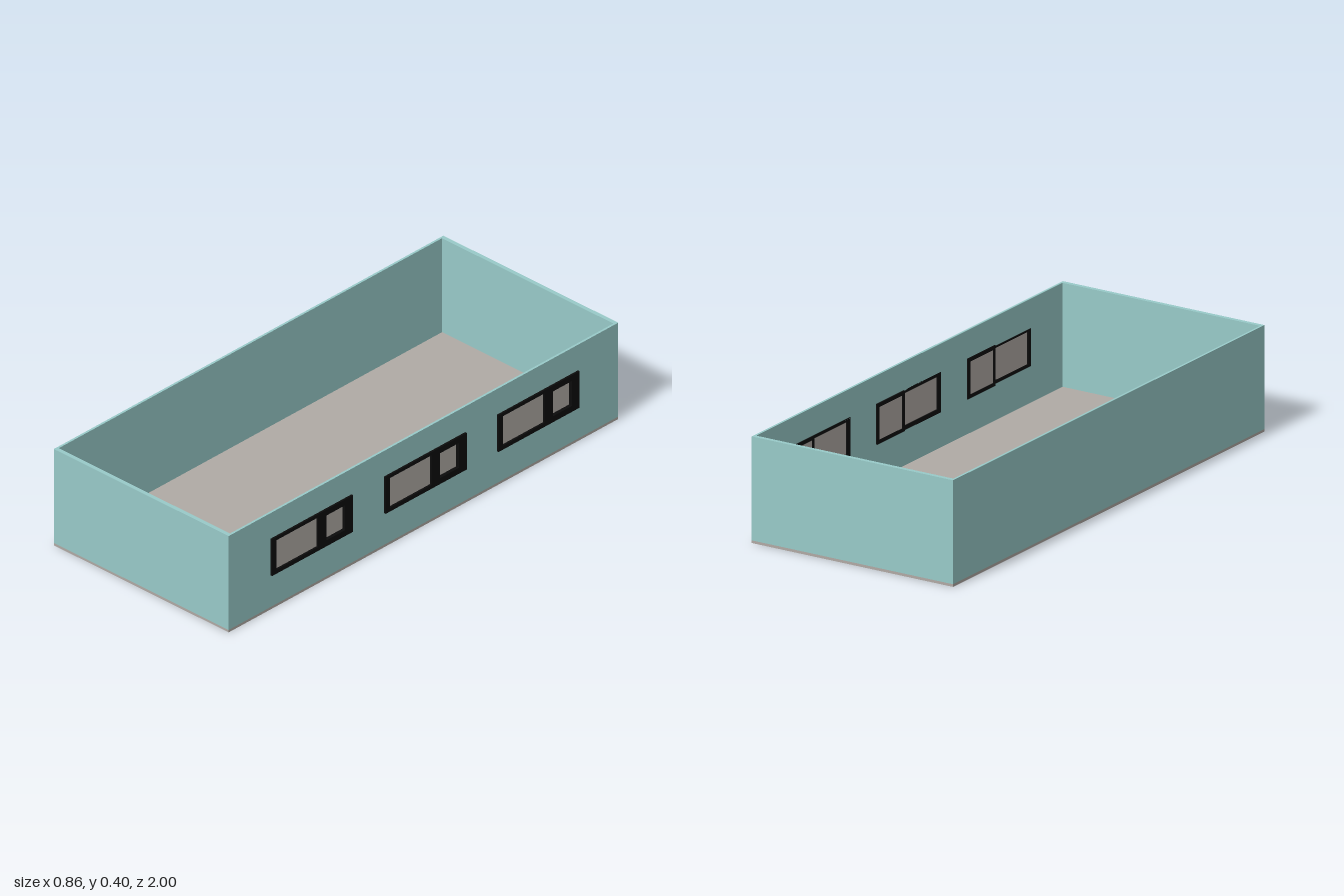
import * as THREE from 'three';

const material = (name, color) => {
  const m = new THREE.MeshStandardMaterial({ color });
  m.name = name;
  return m;
};

// Rectangle in the (z, y) plane
function rect(path, [z0, z1, y0, y1]) {
  path.moveTo(z0, y0);
  path.lineTo(z1, y0);
  path.lineTo(z1, y1);
  path.lineTo(z0, y1);
  path.closePath();
  return path;
}

// Upright panel with openings, running from outerX inwards (towards -x)
function panel(name, mat, outerX, depth, outline, openings) {
  const shape = rect(new THREE.Shape(), outline);
  openings.forEach((o) => shape.holes.push(rect(new THREE.Path(), o)));
  const geo = new THREE.ExtrudeGeometry(shape, { depth, bevelEnabled: false });
  geo.rotateY(-Math.PI / 2).translate(outerX, 0, 0);
  const mesh = new THREE.Mesh(geo, mat);
  mesh.name = name;
  return mesh;
}

function box(name, mat, x0, x1, y0, y1, z0, z1) {
  const mesh = new THREE.Mesh(new THREE.BoxGeometry(x1 - x0, y1 - y0, z1 - z0), mat);
  mesh.position.set((x0 + x1) / 2, (y0 + y1) / 2, (z0 + z1) / 2);
  mesh.name = name;
  return mesh;
}

export function createModel() {
  const teal = material('teal wall', 0x98cac8);
  const grey = material('warm grey', 0xb0aaa5);
  const black = material('black frame', 0x0c0c0c);

  const left = 0.424, right = -0.432, base = 0.01, top = 0.4;
  const side = 0.009, end = 0.016;
  const windowCentres = [0.577, -0.006, -0.586];
  const span = (c, z0, z1, y0, y1) => [c + z0, c + z1, y0, y1];

  const model = new THREE.Group();
  model.name = 'room';

  // Floor slab and plain walls
  model.add(box('floor', grey, right, left, 0, base, -1, 1));
  model.add(box('rightWall', teal, right, right + side, base, top, -1, 1));
  model.add(box('frontWall', teal, right + side, left - side, base, top, 1 - end, 1));
  model.add(box('backWall', teal, right + side, left - side, base, top, -1, -1 + end));

  // Wall with three window openings
  const openings = windowCentres.map((c) => span(c, -0.203, 0.203, 0.147, 0.289));
  model.add(panel('windowWall', teal, left, side, [-1, 1, base, top], openings));

  // Sliding windows: outer frame, inner sash and two panes
  windowCentres.forEach((c) => {
    const unit = new THREE.Group();
    unit.name = 'window';
    unit.add(panel('outerFrame', black, 0.432, 0.017, span(c, -0.208, 0.208, 0.142, 0.294), [
      span(c, -0.028, 0.187, 0.158, 0.281),
      span(c, -0.167, -0.07, 0.167, 0.27),
    ]));
    unit.add(panel('innerSash', black, 0.415, 0.005, span(c, -0.208, -0.03, 0.142, 0.294), [
      span(c, -0.193, -0.045, 0.156, 0.28),
    ]));
    unit.add(box('fixedPane', grey, 0.42, 0.424, 0.158, 0.281, c - 0.028, c + 0.187));
    unit.add(box('slidingPane', grey, 0.412, 0.418, 0.156, 0.28, c - 0.193, c - 0.045));
    model.add(unit);
  });

  return model;
}
